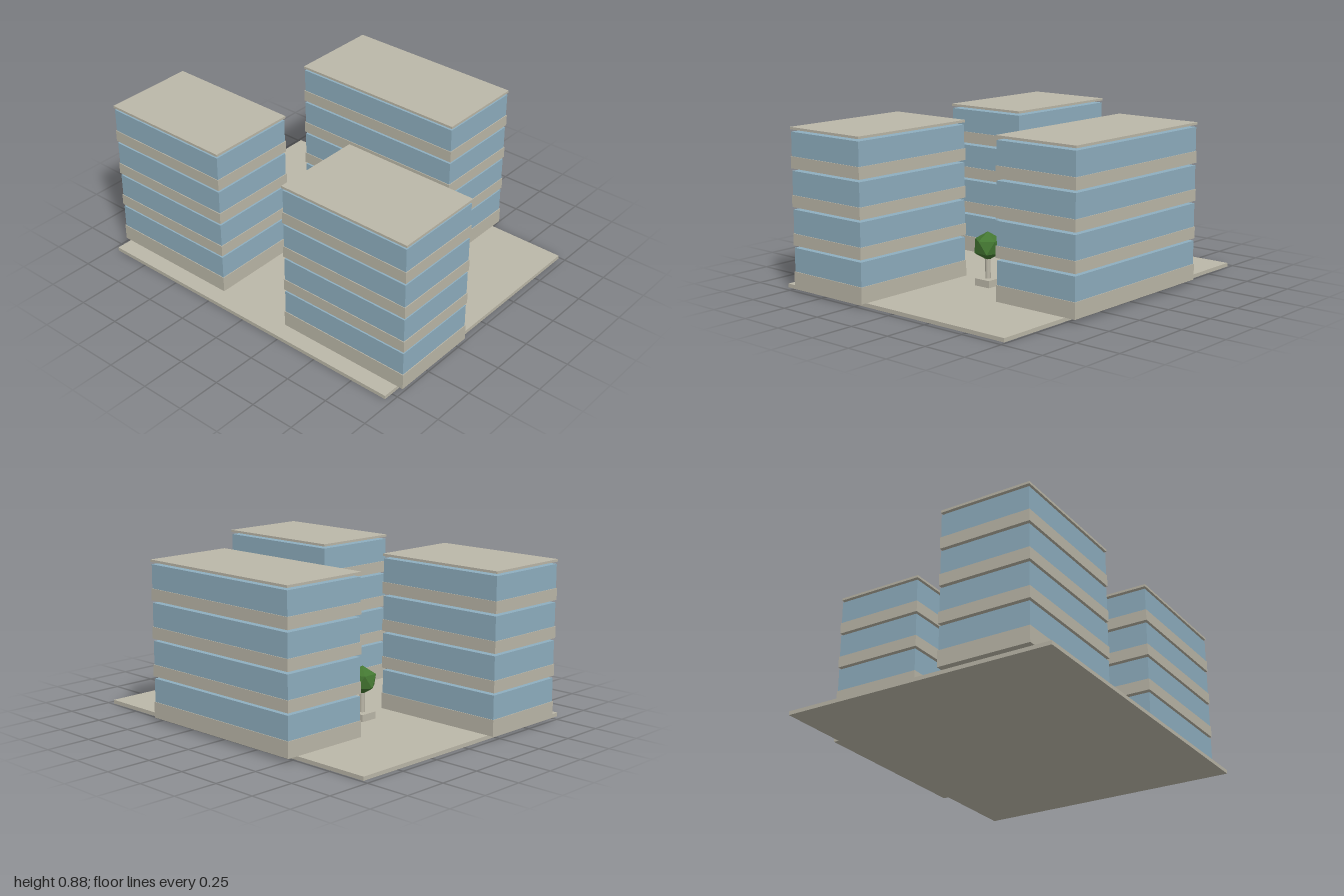
import * as THREE from 'three';

const concrete = new THREE.MeshStandardMaterial({ name: 'concrete', color: 0xbbb7a8 });
const glass = new THREE.MeshStandardMaterial({ name: 'glass', color: 0x8eaebf });
const foliage = new THREE.MeshStandardMaterial({ name: 'foliage', color: 0x447832, flatShading: true });

// Box given by its lower and upper limits on each axis
function box(name, material, [x0, x1], [y0, y1], [z0, z1]) {
  const mesh = new THREE.Mesh(new THREE.BoxGeometry(x1 - x0, y1 - y0, z1 - z0), material);
  mesh.position.set((x0 + x1) / 2, (y0 + y1) / 2, (z0 + z1) / 2);
  mesh.name = name;
  return mesh;
}

// Tower of four separate storeys with open joints between them and a thin roof
function tower(name, x, z) {
  const group = new THREE.Group();
  group.name = name;
  const inset = 0.004;
  const gx = [x[0] + inset, x[1] - inset];
  const gz = [z[0] + inset, z[1] - inset];
  for (let i = 0; i < 4; i++) {
    const y = i * 0.2065;
    const bottom = i === 0 ? 0.022 : y + 0.046; // the ground storey has a taller plinth
    group.add(box('parapetBand', concrete, x, [bottom, y + 0.11], z));
    group.add(box('windowBand', glass, gx, [y + 0.11, y + 0.239], gz));
  }
  group.add(box('roof', concrete, x, [0.871, 0.884], z));
  return group;
}

// Tree in a square planter
function tree(name, x, z) {
  const group = new THREE.Group();
  group.name = name;
  group.add(box('planter', concrete, [-0.05, 0.05], [0.02, 0.06], [-0.05, 0.05]));

  const trunk = new THREE.Mesh(new THREE.CylinderGeometry(0.015, 0.015, 0.13, 12), concrete);
  trunk.position.y = 0.12;
  trunk.name = 'trunk';
  group.add(trunk);

  // Icosahedron turned so that one corner points straight up
  const crownShape = new THREE.IcosahedronGeometry(1, 0);
  crownShape.rotateZ(-Math.atan(2 / (1 + Math.sqrt(5))));
  crownShape.scale(0.082, 0.079, 0.082);
  const crown = new THREE.Mesh(crownShape, foliage);
  crown.position.y = 0.236;
  crown.name = 'crown';
  group.add(crown);

  group.position.set(x, 0, z);
  return group;
}

export function createModel() {
  const model = new THREE.Group();
  model.name = 'officeCampus';
  model.add(box('basePlate', concrete, [-0.965, 0.965], [0, 0.021], [-0.738, 0.803]));
  model.add(tower('rightTower', [-1, -0.225], [0.193, 0.709]));
  model.add(tower('leftTower', [0.218, 1], [0.193, 0.709]));
  model.add(tower('backTower', [-0.521, 0.515], [-0.803, -0.287]));
  for (const side of [-1, 1]) {
    model.add(tree(side < 0 ? 'rightTree' : 'leftTree', side * 0.289, -0.031));
  }
  return model;
}
